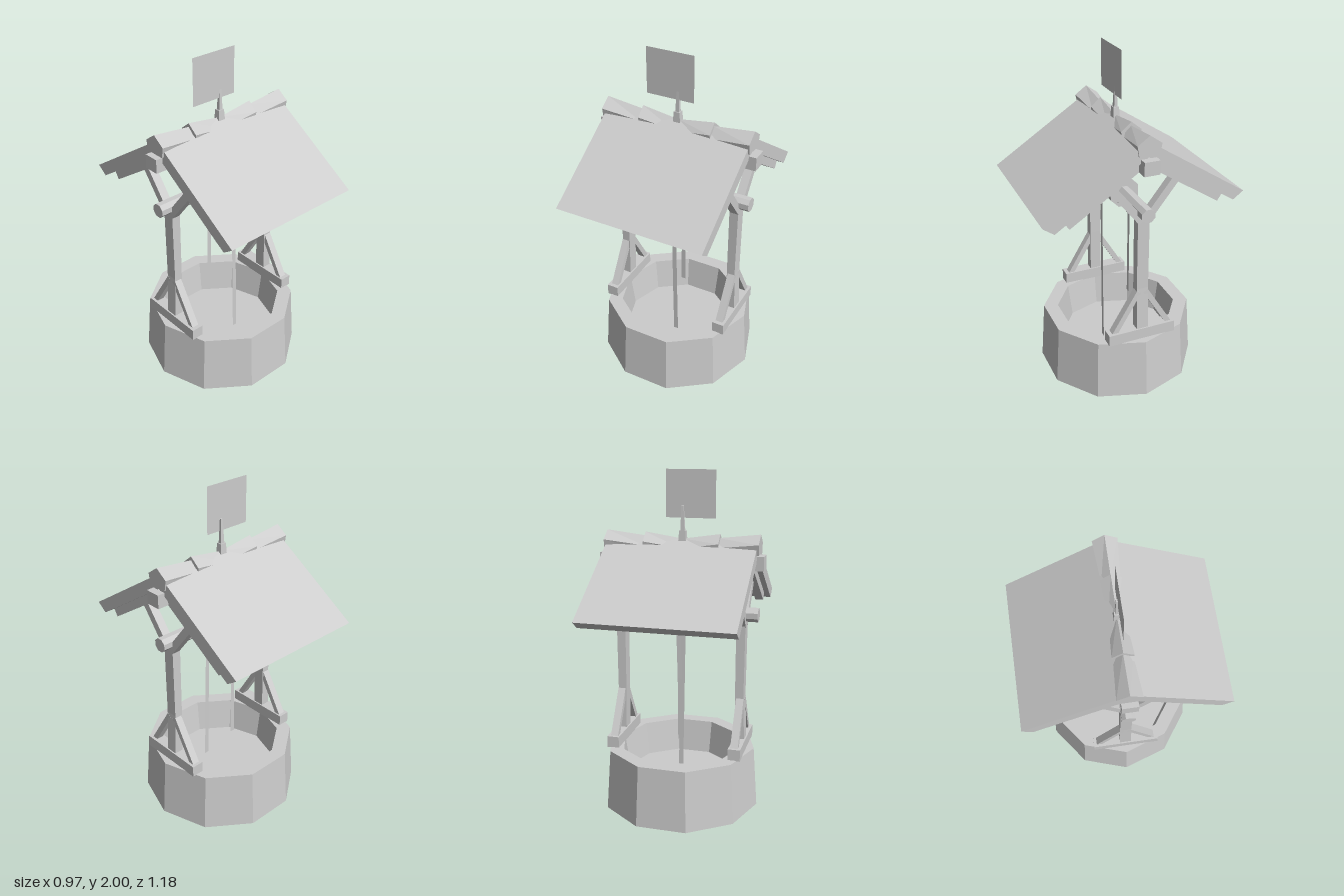
import * as THREE from 'three';

const stone = new THREE.MeshStandardMaterial({ color: 0xcccccc, flatShading: true, side: THREE.DoubleSide });
stone.name = 'plain grey';

export function createModel() {
  const model = new THREE.Group();
  model.name = 'well';

  const add = (name, geometry, x = 0, y = 0, z = 0) => {
    const mesh = new THREE.Mesh(geometry, stone);
    mesh.name = name;
    mesh.position.set(x, y, z);
    model.add(mesh);
    return mesh;
  };
  const box = (name, w, h, d, x, y, z) => add(name, new THREE.BoxGeometry(w, h, d), x, y, z);

  // Square timber between two [y, z] points in the plane at x
  const timber = (name, x, [y0, z0], [y1, z1], w, t) => {
    const m = box(name, w, Math.hypot(y1 - y0, z1 - z0), t, x, (y0 + y1) / 2, (z0 + z1) / 2);
    m.rotation.x = Math.atan2(z1 - z0, y1 - y0);
  };

  // Solid skin over a list of equal-sized rings of [x, y, z]
  const loft = (rings) => {
    const n = rings[0].length, index = [], last = (rings.length - 1) * n;
    for (let k = 0; k < last; k += n) {
      for (let i = 0; i < n; i++) {
        const j = (i + 1) % n;
        index.push(k + i, k + j, k + n + j, k + i, k + n + j, k + n + i);
      }
    }
    for (let i = 1; i < n - 1; i++) index.push(0, i + 1, i, last, last + i, last + i + 1);
    const g = new THREE.BufferGeometry();
    g.setAttribute('position', new THREE.Float32BufferAttribute(rings.flat(2), 3));
    g.setIndex(index);
    const flat = g.toNonIndexed();
    flat.computeVertexNormals();
    return flat;
  };

  // Upright tapering bar: sections of [y, centre x, half width x, half depth z]
  const upright = (sections) => loft(sections.map(([y, x, a, b]) =>
    [[x + a, y, b], [x + a, y, -b], [x - a, y, -b], [x - a, y, b]]));

  // Ten-sided well wall, open underneath, with a raised floor
  const wall = [[0.478, 0], [0.452, 0.365], [0.365, 0.365], [0.335, 0.16], [0.335, 0.07]];
  add('wellWall', new THREE.LatheGeometry(wall.map(p => new THREE.Vector2(...p)), 10, Math.PI / 2));
  const floor = add('wellFloor', new THREE.CircleGeometry(0.335, 10), 0, 0.162, 0);
  floor.rotation.x = -Math.PI / 2;

  // Side frames: sill, post, braces, fork and rafters
  for (const s of [-1, 1]) {
    const x = s * 0.367;
    box('sill', 0.072, 0.07, 0.415, s * 0.37, 0.397, 0.003);
    add('post', upright([[0.42, s * 0.37, 0.028, 0.035], [0.7, s * 0.363, 0.025, 0.035],
      [1.16, s * 0.364, 0.027, 0.035]]));
    for (const f of [-1, 1]) {
      timber('brace', x, [0.42, f * 0.175], [0.68, f * 0.02], 0.045, 0.032);
      timber('fork', x, [1.13, f * 0.01], [1.36, f * 0.19], 0.05, 0.045);
      timber('rafter', s * 0.39, [1.205, f * 0.45], [1.485, f * 0.022], 0.05, 0.05);
    }
  }

  // Roof slabs as one bent section
  const roof = new THREE.Shape([[0, 1.613], [-0.588, 1.23], [-0.525, 1.185], [0, 1.528],
    [0.525, 1.185], [0.588, 1.23]].map(p => new THREE.Vector2(...p)));
  const roofGeo = new THREE.ExtrudeGeometry(roof, { depth: 0.885, bevelEnabled: false });
  roofGeo.rotateY(Math.PI / 2);
  add('roof', roofGeo, -0.447, 0, 0);

  // Ridge beam
  const ridge = box('ridgeBeam', 0.97, 0.08, 0.09, -0.003, 1.486, 0);
  ridge.rotation.z = -0.012;

  // Ridge caps: sections of [x, half depth, top]
  const cap = (sections) => add('ridgeCap', loft(sections.map(([x, h, top]) =>
    [[x, top, 0], [x, top - 0.05, h], [x, 1.54, h * 0.85], [x, 1.54, -h * 0.85], [x, top - 0.05, -h]])));
  cap([[-0.46, 0.07, 1.65], [-0.22, 0.053, 1.622]]);
  cap([[-0.23, 0.06, 1.645], [-0.01, 0.046, 1.612], [0.213, 0.06, 1.645]]);
  cap([[0.205, 0.053, 1.622], [0.447, 0.07, 1.65]]);

  // Finial and sign plate
  add('finialBase', upright([[1.59, -0.01, 0.023, 0.02], [1.66, -0.01, 0.018, 0.016]]));
  add('finialPole', upright([[1.65, -0.01, 0.012, 0.011], [1.8, -0.008, 0.007, 0.004]]));
  add('signPlate', new THREE.PlaneGeometry(0.29, 0.27), -0.055, 1.865, 0.005);

  // Windlass: axle, drum and flanges
  const roller = (name, r, length, x) => {
    add(name, new THREE.CylinderGeometry(r, r, length, 8), x, 1.19, 0).rotation.set(Math.PI / 8, 0, Math.PI / 2, 'XYZ');
  };
  roller('axle', 0.042, 0.91, -0.005);
  roller('drum', 0.06, 0.19, 0.01);
  roller('flange', 0.092, 0.03, -0.095);
  roller('flange', 0.092, 0.03, 0.112);

  // Flat rope hung over the drum: path of [x, y, z]
  const path = [[0.03, 0.05, 0.1], [0.022, 0.5, 0.1], [0.01, 1.17, 0.095]];
  for (let i = 1; i < 6; i++) {
    const a = Math.PI * i / 6;
    path.push([0.01 - 0.003 * i, 1.18 + 0.08 * Math.sin(a), 0.09 * Math.cos(a)]);
  }
  path.push([-0.006, 1.17, -0.088], [-0.017, 0.8, -0.09], [-0.02, 0.42, -0.09]);
  const rope = new THREE.PlaneGeometry(1, 1, 1, path.length - 1);
  path.forEach(([x, y, z], i) => {
    rope.attributes.position.setXYZ(2 * i, x + 0.014, y, z);
    rope.attributes.position.setXYZ(2 * i + 1, x - 0.014, y, z);
  });
  rope.computeVertexNormals();
  add('rope', rope);

  return model;
}
